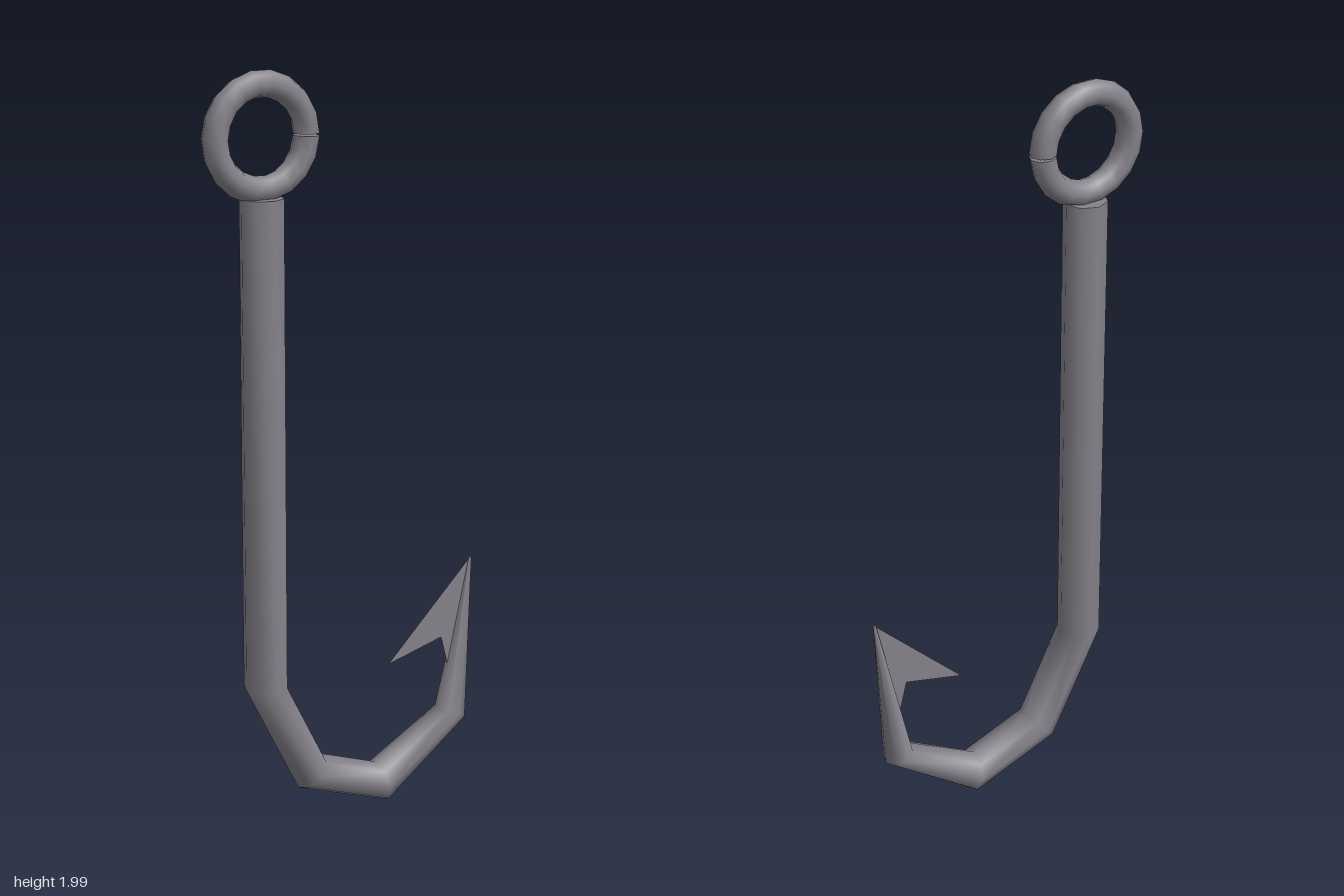
import * as THREE from 'three';

export function createModel() {
  const group = new THREE.Group();
  const steel = new THREE.MeshStandardMaterial({ color: 0x85838a, side: THREE.DoubleSide });
  steel.name = 'steel grey';
  const add = (name, geometry, parent = group) => {
    const mesh = new THREE.Mesh(geometry, steel);
    mesh.name = name;
    parent.add(mesh);
    return mesh;
  };

  // Hook body: octagonal sections given as outer x, y, inner x, y, half depth
  const SIDES = 8;
  const sections = [
    [-0.302, 1.682, -0.186, 1.682, 0.058],
    [-0.302, 0.4, -0.186, 0.4, 0.058],
    [-0.145, 0.095, -0.07, 0.175, 0.058],
    [0.12, 0.003, 0.1, 0.115, 0.058],
    [0.382, 0.195, 0.305, 0.23, 0.045],
    [0.409, 0.642, 0.401, 0.642, 0.004],
  ];
  const positions = [];
  const index = [];
  sections.forEach(([ox, oy, ix, iy, depth], i) => {
    for (let j = 0; j < SIDES; j++) {
      const t = (j / SIDES) * Math.PI * 2;
      const k = (1 + Math.cos(t)) / 2;
      positions.push(ox + (ix - ox) * k, oy + (iy - oy) * k, Math.sin(t) * depth);
      if (i === sections.length - 1) continue;
      const a = i * SIDES + j;
      const b = i * SIDES + ((j + 1) % SIDES);
      index.push(a, b, a + SIDES, b, b + SIDES, a + SIDES);
    }
  });
  const body = new THREE.BufferGeometry();
  body.setAttribute('position', new THREE.Float32BufferAttribute(positions, 3));
  body.setIndex(index);
  body.computeVertexNormals();
  add('hookBody', body);

  // Flat ends of the shank and the point
  const shankCap = add('shankCap', new THREE.CircleGeometry(0.058, SIDES));
  shankCap.rotation.x = -Math.PI / 2;
  shankCap.position.set(-0.244, 1.682, 0);
  const pointCap = add('pointCap', new THREE.CircleGeometry(0.004, SIDES));
  pointCap.rotation.x = -Math.PI / 2;
  pointCap.position.set(0.405, 0.642, 0);

  // Thin barb blade running back from the point
  const barb = new THREE.Shape([
    [0.405, 0.642], [0.14, 0.385], [0.312, 0.43], [0.336, 0.34], [0.365, 0.36],
  ].map(([x, y]) => new THREE.Vector2(x, y)));
  add('barb', new THREE.ShapeGeometry(barb));

  // Eye: a bent ring with a small split on its side
  const R = 0.1315, r = 0.0345, arc = Math.PI * 2 - 0.04;
  const eye = new THREE.Group();
  eye.name = 'eye';
  eye.position.set(-0.245, 1.834, 0);
  group.add(eye);
  add('eyeRing', new THREE.TorusGeometry(R, r, 8, 18, arc), eye);
  [0, arc].forEach((angle, i) => {
    const end = new THREE.CircleGeometry(r, 8);
    end.rotateX(i ? -Math.PI / 2 : Math.PI / 2);
    end.translate(R, 0, 0);
    end.rotateZ(angle);
    add('eyeEnd', end, eye);
  });

  return group;
}
